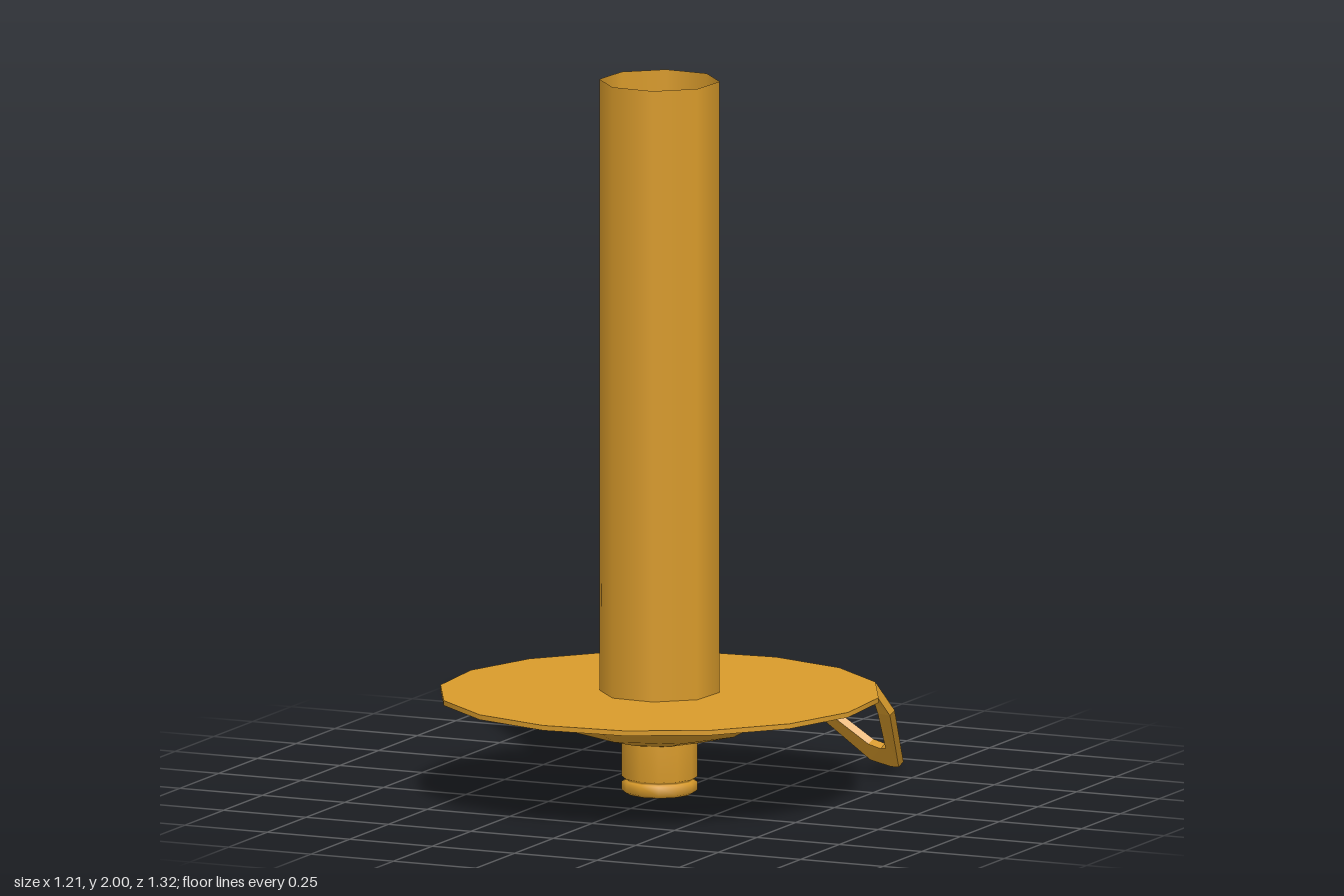
import * as THREE from 'three';

const rad = THREE.MathUtils.degToRad;
const CX = -0.003, CZ = 0.058;

export function createModel() {
  const group = new THREE.Group();
  const brass = new THREE.MeshStandardMaterial({ color: 0xd99b2b });
  const thin = new THREE.MeshStandardMaterial({ color: 0xd99b2b, side: THREE.DoubleSide });
  const thinFlat = new THREE.MeshStandardMaterial({ color: 0xd99b2b, side: THREE.DoubleSide, flatShading: true });

  const add = (name, geometry, material) => {
    const mesh = new THREE.Mesh(geometry, material);
    mesh.name = name;
    mesh.position.set(CX, 0, CZ);
    group.add(mesh);
    return mesh;
  };
  // Turned shape; the first vertex sits at the given angle from +x towards +z
  const turned = (points, sides, angle) => new THREE.LatheGeometry(
    points.map(([r, y]) => new THREE.Vector2(r, y)), sides, rad(90 - angle));

  // Thin sixteen-sided drip plate
  const plate = new THREE.CylinderGeometry(0.609, 0.609, 0.014, 16, 1, false, rad(90 - 6.5));
  plate.translate(0, 0.288, 0);
  add('dripPlate', plate, brass);

  // Open eight-sided tube
  const tube = new THREE.CylinderGeometry(0.166, 0.166, 1.706, 8, 1, true, rad(90 - 26));
  tube.translate(0, 0.294 + 0.853, 0);
  add('candleTube', tube, thin);

  // Shallow bowl under the plate
  add('bowl', turned([[0.09, 0.155], [0.13, 0.163], [0.24, 0.19], [0.35, 0.25], [0.35, 0.283]], 8, 6.5), thin);

  // Stem with a groove and a dimpled foot
  add('stem', turned([
    [0, 0.045], [0.04, 0.035], [0.05, 0.012], [0.09, 0.012], [0.104, 0.02], [0.104, 0.044],
    [0.094, 0.048], [0.094, 0.053], [0.104, 0.058], [0.104, 0.165],
  ], 12, 6.5), thin);

  // Sloping triangular handle: outer and inner corners as [across, outward, y]
  const half = [
    [[0, 0.606, 0.29], [0, 0.655, 0.245]],
    [[0.23, 0.568, 0.29], [0.172, 0.615, 0.245]],
    [[0.238, 0.624, 0.21], [0.17, 0.632, 0.205]],
    [[0.066, 0.778, 0.024], [0.04, 0.752, 0.075]],
    [[0, 0.8, 0.013], [0, 0.764, 0.067]],
  ];
  const mirrored = half.slice(1, 4).reverse().map(pair => pair.map(([t, o, y]) => [-t, o, y]));
  const under = ([t, o, y]) => [t, o - 0.016, y - 0.013];
  const sections = [...half, ...mirrored].map(([o, i]) => [o, i, under(i), under(o)]);
  const positions = [], index = [];
  for (const s of sections) {
    for (const [t, o, y] of s) positions.push(t, y, -o);
  }
  const n = sections.length;
  for (let i = 0; i < n; i++) {
    for (let k = 0; k < 4; k++) {
      const j = (i + 1) % n, m = (k + 1) % 4;
      const a = i * 4 + k, b = j * 4 + k, c = j * 4 + m, d = i * 4 + m;
      index.push(a, b, c, a, c, d);
    }
  }
  const handle = new THREE.BufferGeometry();
  handle.setAttribute('position', new THREE.Float32BufferAttribute(positions, 3));
  handle.setIndex(index);
  handle.computeVertexNormals();
  add('handle', handle, thinFlat).rotation.y = rad(-29);

  return group;
}
